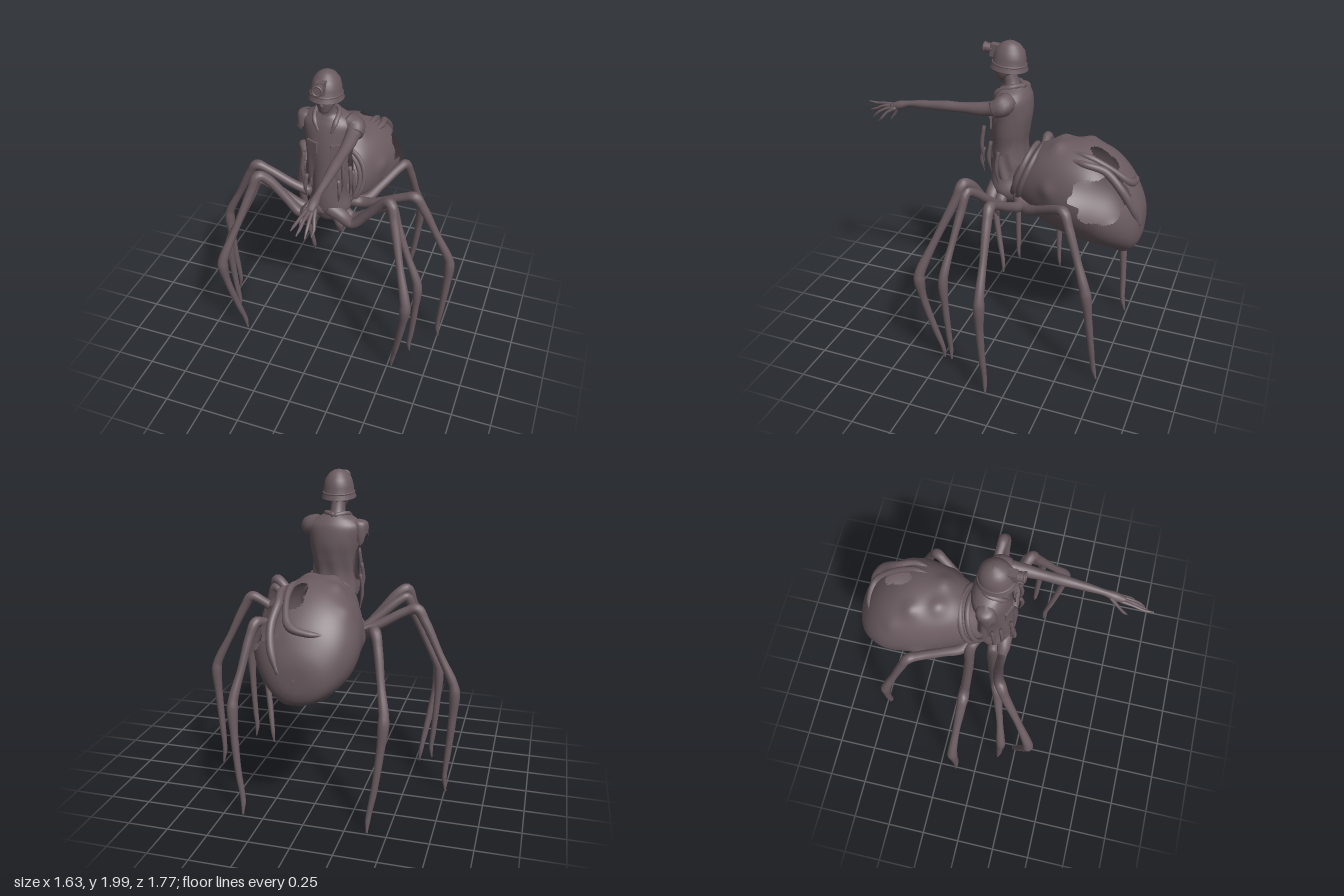
import * as THREE from 'three';

const skin = new THREE.MeshStandardMaterial({ color: 0x6a5b60, side: THREE.DoubleSide });
skin.name = 'dustyMauve';

// Closed grid: u runs along the part, v runs around it; skip(x, y, z) tears holes
function surface(fn, nu, nv, skip) {
  const pos = [], idx = [];
  for (let i = 0; i <= nu; i++)
    for (let j = 0; j < nv; j++) pos.push(...fn(i / nu, (j / nv) * Math.PI * 2));
  const tri = (...t) => {
    const mid = k => (pos[t[0] * 3 + k] + pos[t[1] * 3 + k] + pos[t[2] * 3 + k]) / 3;
    if (!skip || !skip(mid(0), mid(1), mid(2))) idx.push(...t);
  };
  for (let i = 0; i < nu; i++)
    for (let j = 0; j < nv; j++) {
      const a = i * nv + j, b = i * nv + (j + 1) % nv;
      tri(a, b, a + nv);
      tri(b, b + nv, a + nv);
    }
  const g = new THREE.BufferGeometry();
  g.setAttribute('position', new THREE.Float32BufferAttribute(pos, 3));
  g.setIndex(idx);
  g.computeVertexNormals();
  return g;
}

// Smooth interpolation through rows of numbers
function sample(rows, t) {
  const n = rows.length - 1, f = Math.min(t * n, n - 1e-6), i = Math.floor(f), s = f - i;
  const r = k => rows[Math.max(0, Math.min(n, k))];
  return rows[0].map((_, c) => {
    const [a, b, d, e] = [r(i - 1)[c], r(i)[c], r(i + 1)[c], r(i + 2)[c]];
    return b + 0.5 * s * (d - a + s * (2 * a - 5 * b + 4 * d - e + s * (3 * (b - d) + e - a)));
  });
}

// Limb along points [x, y, z, radius], closed at both ends
function limb(points, sides = 12, steps = 6) {
  const curve = new THREE.CatmullRomCurve3(points.map(p => new THREE.Vector3(p[0], p[1], p[2])));
  const n = (points.length - 1) * steps, rings = [];
  let N = new THREE.Vector3(0.31, 0.2, 0.93);
  for (let i = 0; i <= n; i++) {
    const t = i / n, T = curve.getTangent(t);
    N = N.clone().addScaledVector(T, -N.dot(T)).normalize();
    const k = Math.min(Math.floor(t * (points.length - 1)), points.length - 2);
    const s = THREE.MathUtils.smoothstep(t * (points.length - 1) - k, 0, 1);
    const r = THREE.MathUtils.lerp(points[k][3], points[k + 1][3], s);
    rings.push({ c: curve.getPoint(t), N, B: T.clone().cross(N), r });
  }
  rings.unshift({ ...rings[0], r: 0 });
  rings.push({ ...rings[n + 1], r: 0 });
  return surface((u, a) => {
    const { c, N, B, r } = rings[Math.round(u * (n + 2))];
    return c.clone().addScaledVector(N, r * Math.cos(a)).addScaledVector(B, r * Math.sin(a)).toArray();
  }, n + 2, sides);
}

// Upright body from rows [y, centreX, centreZ, radiusX, radiusZ]
function loft(rows, nu, nv, skip, ripple = () => 0) {
  return surface((u, a) => {
    const [y, cx, cz, rx, rz] = sample(rows, u), k = 1 + ripple(a, y);
    return [cx + rx * k * Math.cos(a), y, cz - rz * k * Math.sin(a)];
  }, nu, nv, skip);
}

export function createModel() {
  const model = new THREE.Group();
  const add = (name, geo, parent = model) => {
    const m = new THREE.Mesh(geo, skin);
    m.name = name;
    parent.add(m);
    return m;
  };

  // Abdomen: hollow, lumpy, torn open on its left and on top; rows [z, top, bottom, halfWidth]
  const abdomenRows = [
    [-0.04, 1.15, 1.1, 0.005], [-0.07, 1.24, 1.01, 0.1], [-0.15, 1.32, 0.96, 0.16],
    [-0.26, 1.405, 0.895, 0.215], [-0.4, 1.44, 0.845, 0.27], [-0.55, 1.43, 0.82, 0.3],
    [-0.67, 1.37, 0.805, 0.298], [-0.77, 1.275, 0.8, 0.25], [-0.84, 1.16, 0.82, 0.18],
    [-0.873, 1.07, 0.88, 0.1], [-0.88, 0.98, 0.97, 0.003]];
  const bumps = [[-0.09, 1.41, -0.34], [0.07, 1.41, -0.34], [-0.14, 1.4, -0.5], [0.24, 1.2, -0.33],
    [0.05, 1.2, -0.84], [-0.2, 1.28, -0.6], [-0.27, 1.1, -0.45], [-0.1, 0.83, -0.7], [0.08, 0.82, -0.78]];
  const abdomenPoint = (u, a) => {
    const [z, top, bottom, w] = sample(abdomenRows, u);
    const p = [w * Math.cos(a), (top + bottom) / 2 - (top - bottom) / 2 * Math.sin(a), z];
    let k = 0.012 * Math.sin(3 * a + 9 * u) * Math.sin(7 * u);
    for (const b of bumps)
      k += 0.06 * Math.exp(-((p[0] - b[0]) ** 2 + (p[1] - b[1]) ** 2 + (p[2] - b[2]) ** 2) / 0.0025);
    return [p[0] * (1 + k), 1.1 + (p[1] - 1.1) * (1 + k), z];
  };
  const torn = (x, y, z) => {
    const ragged = 1 + 0.13 * Math.sin(45 * z + 20 * y) + 0.1 * Math.sin(70 * y);
    const side = x > 0.1 && Math.hypot((z + 0.65) / 0.15, (y - 1.2) / 0.135) < ragged;
    const top = y > 1.25 && Math.hypot((x - 0.05) / 0.05, (z + 0.62) / 0.1) < ragged;
    return side || top;
  };
  add('abdomen', surface(abdomenPoint, 120, 120, torn));
  // Raised folds around the torn opening
  add('abdomenFold', limb([[0.15, 1.38, -0.44, 0.01], [0.17, 1.375, -0.55, 0.022], [0.15, 1.34, -0.66, 0.025],
    [0.16, 1.24, -0.765, 0.025], [0.14, 1.12, -0.83, 0.025], [0.09, 1.0, -0.865, 0.015]]));
  add('abdomenFold', limb([[0.1, 1.41, -0.42, 0.01], [0.115, 1.4, -0.55, 0.02], [0.1, 1.34, -0.68, 0.018],
    [0.05, 1.25, -0.785, 0.026], [-0.06, 1.22, -0.8, 0.02], [-0.15, 1.21, -0.77, 0.008]]));

  // Pelvis, belly and neck in one body
  add('torso', loft([
    [0.96, 0, -0.02, 0.005, 0.005], [0.99, 0, -0.02, 0.09, 0.08], [1.07, 0, -0.02, 0.135, 0.115],
    [1.16, 0, -0.01, 0.11, 0.115], [1.25, 0, -0.01, 0.105, 0.11], [1.35, 0, 0, 0.105, 0.09],
    [1.45, 0, -0.01, 0.12, 0.095], [1.55, -0.005, -0.025, 0.13, 0.1], [1.65, -0.01, -0.035, 0.135, 0.09],
    [1.7, -0.012, -0.035, 0.1, 0.07], [1.735, -0.014, -0.025, 0.052, 0.05],
    [1.8, -0.015, -0.005, 0.043, 0.045], [1.84, -0.015, 0, 0.043, 0.045]], 60, 36));
  // Sleeveless torn jacket with side openings and a ragged hem
  add('jacket', loft([
    [1.18, 0, -0.03, 0.155, 0.135], [1.28, 0, -0.015, 0.15, 0.12], [1.38, 0, -0.01, 0.145, 0.115],
    [1.48, 0, -0.02, 0.15, 0.12], [1.57, -0.005, -0.03, 0.158, 0.122], [1.66, -0.01, -0.035, 0.165, 0.11],
    [1.705, -0.012, -0.035, 0.13, 0.09], [1.735, -0.014, -0.03, 0.075, 0.07]], 70, 100,
  (x, y, z) => Math.hypot((z + 0.02) / 0.06, (y - 1.46) / 0.13) < 1
    || (z > 0 && Math.abs(x) < 0.035 + 0.3 * Math.max(0, 1.47 - y))
    || y < 1.24 + 0.045 * Math.sin(70 * x) + 0.03 * Math.sin(43 * z),
  (a, y) => 0.03 * Math.sin(9 * a + 12 * y) * Math.max(0, 1.6 - y) * 4));
  for (const s of [-1, 1]) {
    const pocket = add('pocket', new THREE.BoxGeometry(0.07, 0.08, 0.016));
    pocket.position.set(s * 0.075, 1.52, 0.078);
    pocket.rotation.y = s * 0.4;
    const flap = add('pocketFlap', new THREE.BoxGeometry(0.076, 0.022, 0.024));
    flap.position.set(s * 0.075, 1.56, 0.079);
    flap.rotation.y = s * 0.4;
    add('collar', limb([[-0.015, 1.735, -0.1, 0.016], [s * 0.065 - 0.015, 1.74, -0.04, 0.016],
      [s * 0.065 - 0.01, 1.7, 0.045, 0.016], [s * 0.04, 1.64, 0.075, 0.008]], 8));
    // Hanging tatters and mouth feelers
    for (const [x, y, z, len] of [[0.15, 1.42, 0.05, 0.2], [0.12, 1.5, 0.105, 0.24], [0.155, 1.36, 0, 0.22], [0.1, 1.35, 0.115, 0.16]])
      add('tatter', limb([[s * x, y, z, 0.012], [s * (x + 0.01), y - len / 2, z + 0.012, 0.013], [s * x, y - len, z, 0.003]], 6, 4));
    add('feeler', limb([[s * 0.06, 1.04, 0.05, 0.03], [s * 0.085, 0.98, 0.06, 0.022],
      [s * 0.09, 0.93, 0.04, 0.022], [s * 0.085, 0.875, 0.03, 0.006]], 8));
  }
  // Folded cloth where the waist meets the abdomen
  for (const [y, z, w, h] of [[1.2, -0.12, 0.16, 0.18], [1.19, -0.16, 0.175, 0.19]]) {
    const fold = add('waistFold', new THREE.TorusGeometry(1, 0.09, 8, 40));
    fold.position.set(0, y, z);
    fold.scale.set(w, h, 0.2);
    fold.rotation.x = -0.35;
  }

  // Head and helmet
  add('head', loft([[1.75, -0.015, 0.045, 0.004, 0.004], [1.76, -0.015, 0.04, 0.028, 0.025],
    [1.79, -0.015, 0.025, 0.048, 0.048], [1.83, -0.015, 0.01, 0.06, 0.07],
    [1.88, -0.015, 0, 0.07, 0.083], [1.93, -0.015, 0, 0.06, 0.07]], 24, 28));
  add('nose', limb([[-0.015, 1.85, 0.075, 0.008], [-0.015, 1.815, 0.085, 0.012], [-0.015, 1.805, 0.072, 0.008]], 8));
  const helmet = new THREE.Group();
  helmet.name = 'helmet';
  helmet.position.set(-0.018, 1.865, -0.005);
  helmet.rotation.x = -0.08;
  helmet.scale.z = 1.1;
  model.add(helmet);
  const profile = [[0.086, -0.015], [0.102, -0.034], [0.105, -0.03], [0.092, 0], [0.09, 0.035],
    [0.078, 0.082], [0.052, 0.115], [0.025, 0.13], [0, 0.134]].map(p => new THREE.Vector2(...p));
  add('helmetShell', new THREE.LatheGeometry(profile, 40), helmet);
  const band = add('helmetBand', new THREE.TorusGeometry(0.092, 0.006, 8, 40), helmet);
  band.rotation.x = Math.PI / 2;
  const mount = add('lampMount', new THREE.BoxGeometry(0.05, 0.075, 0.05), helmet);
  mount.position.set(0, 0.06, 0.085);
  const lamp = add('lamp', new THREE.CylinderGeometry(0.03, 0.026, 0.05, 20), helmet);
  lamp.rotation.x = Math.PI / 2;
  lamp.position.set(0, 0.065, 0.122);
  const lampRim = add('lampRim', new THREE.TorusGeometry(0.028, 0.006, 8, 24), helmet);
  lampRim.position.set(0, 0.065, 0.146);

  // Outstretched left arm with spread fingers
  add('leftArm', limb([[0.08, 1.66, -0.04, 0.055], [0.145, 1.65, -0.02, 0.055], [0.16, 1.63, 0.07, 0.042],
    [0.16, 1.615, 0.24, 0.031], [0.158, 1.61, 0.33, 0.032], [0.155, 1.598, 0.46, 0.026],
    [0.15, 1.585, 0.58, 0.019], [0.148, 1.565, 0.65, 0.027], [0.145, 1.545, 0.71, 0.022]]));
  const fingers = [
    [[0.13, 1.57, 0.63], [0.105, 1.53, 0.68], [0.1, 1.475, 0.72], [0.105, 1.44, 0.745]],
    [[0.13, 1.555, 0.69], [0.12, 1.55, 0.77], [0.11, 1.54, 0.83], [0.11, 1.545, 0.885]],
    [[0.145, 1.55, 0.69], [0.14, 1.54, 0.77], [0.135, 1.515, 0.82], [0.13, 1.5, 0.865]],
    [[0.157, 1.55, 0.69], [0.162, 1.525, 0.76], [0.165, 1.5, 0.8], [0.165, 1.465, 0.835]],
    [[0.165, 1.55, 0.67], [0.18, 1.515, 0.73], [0.19, 1.48, 0.76], [0.185, 1.45, 0.79]]];
  for (const f of fingers)
    add('finger', limb(f.map((p, i) => [...p, [0.012, 0.0095, 0.009, 0.004][i]]), 8, 4));
  add('leftSleeve', limb([[0.1, 1.67, -0.04, 0.06], [0.15, 1.655, -0.025, 0.062], [0.165, 1.63, 0.03, 0.052]]));
  // Stump of the right arm inside a torn sleeve
  add('rightStump', limb([[-0.09, 1.66, -0.04, 0.055], [-0.155, 1.645, -0.035, 0.05], [-0.185, 1.61, -0.03, 0.03]]));
  add('rightSleeve', loft([[1.55, -0.165, -0.03, 0.035, 0.05], [1.62, -0.165, -0.03, 0.042, 0.06],
    [1.69, -0.155, -0.035, 0.05, 0.05], [1.71, -0.14, -0.035, 0.01, 0.01]], 20, 36,
  (x, y, z) => y < 1.6 + 0.03 * Math.sin(90 * z) + 0.02 * Math.sin(80 * x)));

  // Four mirrored pairs of legs, [x, y, z, radius] from hip to foot
  const legs = {
    frontLeg: [[0.02, 1.09, 0.05, 0.055], [0.1, 1.05, 0.06, 0.045], [0.17, 1.0, 0.06, 0.032], [0.26, 1.09, 0.065, 0.03],
      [0.38, 1.23, 0.09, 0.032], [0.43, 1.255, 0.115, 0.034], [0.465, 1.16, 0.15, 0.029], [0.54, 0.92, 0.25, 0.023],
      [0.61, 0.7, 0.335, 0.032], [0.615, 0.65, 0.34, 0.036], [0.6, 0.5, 0.325, 0.023],
      [0.56, 0.25, 0.275, 0.02], [0.535, 0.1, 0.24, 0.015], [0.525, 0.015, 0.235, 0.007]],
    secondLeg: [[0.04, 1.08, 0, 0.05], [0.16, 1.01, 0, 0.034], [0.26, 1.08, 0.025, 0.028], [0.39, 1.19, 0.07, 0.028],
      [0.435, 1.21, 0.09, 0.03], [0.48, 1.1, 0.11, 0.026], [0.56, 0.91, 0.14, 0.021], [0.635, 0.74, 0.163, 0.028],
      [0.645, 0.68, 0.167, 0.03], [0.64, 0.5, 0.16, 0.021], [0.625, 0.28, 0.15, 0.018], [0.615, 0.17, 0.145, 0.014],
      [0.622, 0.1, 0.14, 0.006]],
    thirdLeg: [[0.05, 1.07, -0.1, 0.05], [0.17, 1.03, -0.14, 0.036], [0.28, 1.07, -0.12, 0.03], [0.46, 1.17, -0.095, 0.028],
      [0.53, 1.19, -0.09, 0.034], [0.58, 1.12, -0.095, 0.029], [0.68, 0.92, -0.11, 0.023], [0.77, 0.74, -0.12, 0.029],
      [0.782, 0.68, -0.122, 0.034], [0.775, 0.5, -0.12, 0.025], [0.76, 0.3, -0.125, 0.021], [0.745, 0.11, -0.135, 0.015],
      [0.755, 0.015, -0.14, 0.007]],
    backLeg: [[0.08, 1.05, -0.12, 0.045], [0.18, 1.02, -0.19, 0.035], [0.25, 1.07, -0.3, 0.029], [0.33, 1.14, -0.43, 0.029],
      [0.36, 1.15, -0.48, 0.033], [0.385, 1.07, -0.52, 0.028], [0.42, 0.88, -0.59, 0.024], [0.45, 0.73, -0.645, 0.03],
      [0.453, 0.67, -0.66, 0.034], [0.44, 0.5, -0.68, 0.024], [0.415, 0.28, -0.7, 0.02], [0.385, 0.1, -0.715, 0.016],
      [0.382, 0.015, -0.735, 0.007]],
  };
  for (const [name, points] of Object.entries(legs))
    for (const s of [1, -1])
      add((s > 0 ? 'left ' : 'right ') + name, limb(points.map(([x, ...rest]) => [s * x, ...rest]), 14, 5));
  return model;
}
